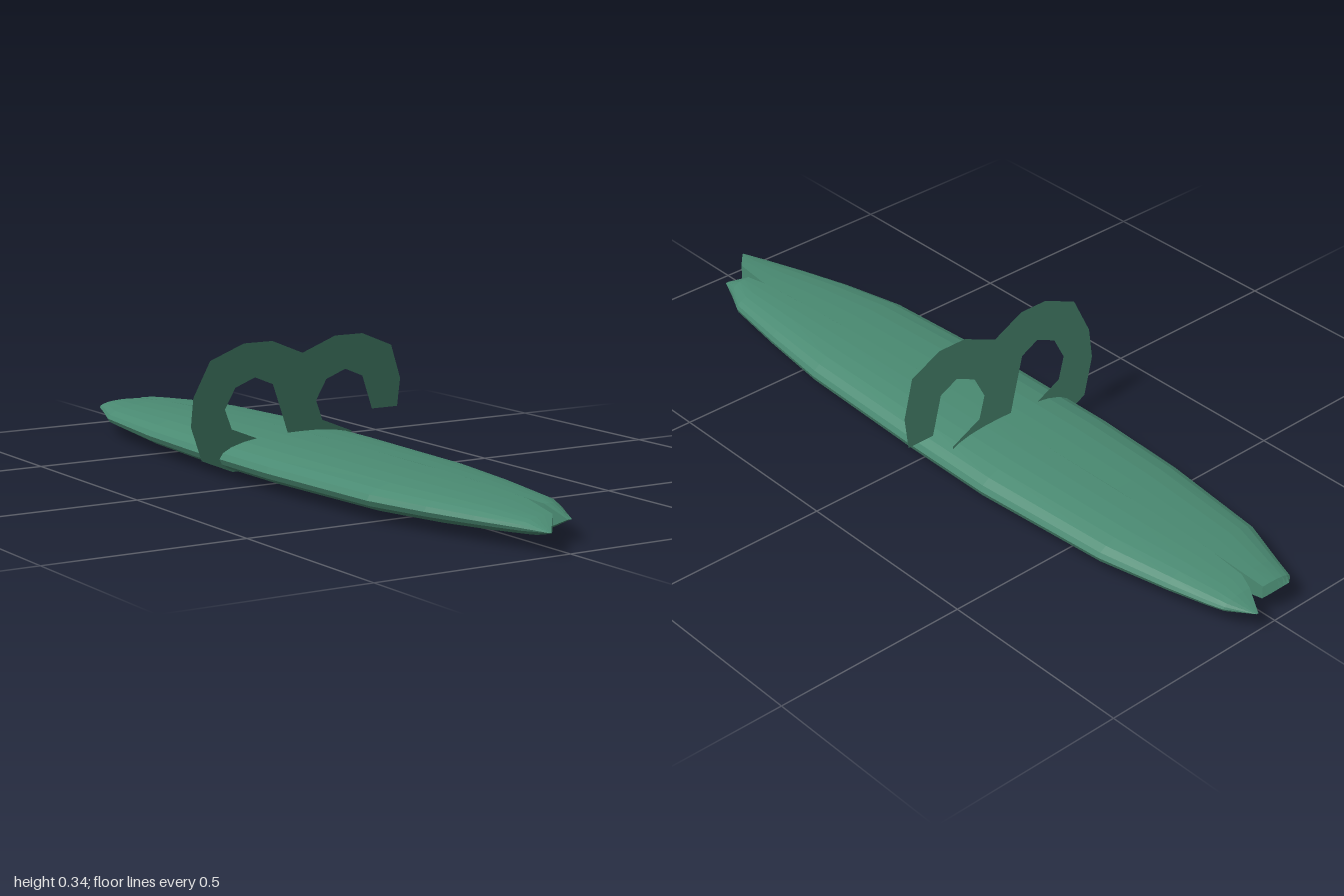
import * as THREE from 'three';

const material = new THREE.MeshStandardMaterial({ color: 0x4a8a72, flatShading: true, side: THREE.DoubleSide });
const MID_Y = 0.052;
const seam = z => 0.018 + 0.02 * z;
const halfHeight = z => 0.05 * Math.sqrt(Math.max(0, 1 - Math.pow(Math.abs(z), 2.5)));

// One long lobe lofted through stations [z, outer x, inner x]; its ends pinch to an edge
function lobe(name, stations, side) {
  const steps = 6, pos = [], index = [];
  stations.forEach(([z, outer, inner = seam(z)], k) => {
    const h = k === 0 || k === stations.length - 1 ? 0 : halfHeight(z);
    for (let i = 0; i <= 2 * steps; i++) {
      const t = Math.sin((1 - Math.abs(i - steps) / steps) * Math.PI / 2);
      const up = i < steps ? 1 : -1;
      const y = MID_Y + up * h * Math.sqrt(Math.max(0, 1 - Math.pow(t, 2.5)));
      pos.push(inner + (outer - inner) * t, y, z);
    }
  });
  const n = 2 * steps + 1;
  for (let k = 0; k < stations.length - 1; k++) {
    for (let i = 0; i < n; i++) {
      const a = k * n + i, b = k * n + (i + 1) % n, c = a + n, d = b + n;
      if (side > 0) index.push(a, c, b, b, c, d);
      else index.push(a, b, c, b, d, c);
    }
  }
  const geometry = new THREE.BufferGeometry();
  geometry.setAttribute('position', new THREE.Float32BufferAttribute(pos, 3));
  geometry.setIndex(index);
  geometry.computeVertexNormals();
  const mesh = new THREE.Mesh(geometry, material);
  mesh.name = name;
  return mesh;
}

// Flat open ring, angular inside and out
function hookGeometry() {
  const outline = [
    [0.168, -0.037], [0.168, 0.037], [0.13, 0.127], [0.04, 0.164], [-0.04, 0.164],
    [-0.13, 0.127], [-0.168, 0.037], [-0.168, -0.037], [-0.13, -0.127], [-0.04, -0.164],
    [0.038, -0.164], [0.038, -0.09], [-0.053, -0.053], [-0.077, 0], [-0.053, 0.053],
    [0, 0.075], [0.053, 0.053], [0.092, -0.037],
  ];
  return new THREE.ShapeGeometry(new THREE.Shape(outline.map(p => new THREE.Vector2(...p))));
}

export function createModel() {
  const model = new THREE.Group();
  model.name = 'model';

  // Slender flat body: two lobes meeting along a seam, parted at both tips
  const body = new THREE.Group();
  body.name = 'body';
  body.add(
    lobe('rightLobe', [
      [-0.97, -0.075, -0.012], [-0.955, -0.095, -0.004], [-0.9, -0.115, 0], [-0.78, -0.163],
      [-0.5, -0.197], [-0.25, -0.21], [0.1, -0.21], [0.5, -0.188], [0.67, -0.15],
      [0.8, -0.112], [0.92, -0.073, 0.012], [0.995, -0.052, -0.048],
    ], -1),
    lobe('leftLobe', [
      [-1, 0.063, 0.057], [-0.94, 0.105, 0.023], [-0.9, 0.118, 0.006], [-0.8, 0.143],
      [-0.62, 0.18], [-0.25, 0.206], [0, 0.203], [0.4, 0.188], [0.6, 0.163],
      [0.78, 0.135], [0.85, 0.1, 0.042], [0.905, 0.077, 0.066],
    ], 1),
  );
  model.add(body);

  // Pair of thin open rings, leaning slightly forward across the body
  const geometry = hookGeometry();
  for (const [name, x] of [['rightHook', -0.13], ['leftHook', 0.13]]) {
    const hook = new THREE.Mesh(geometry, material);
    hook.name = name;
    hook.position.set(x, 0.177, -0.0925);
    hook.rotation.x = THREE.MathUtils.degToRad(10);
    model.add(hook);
  }
  return model;
}
